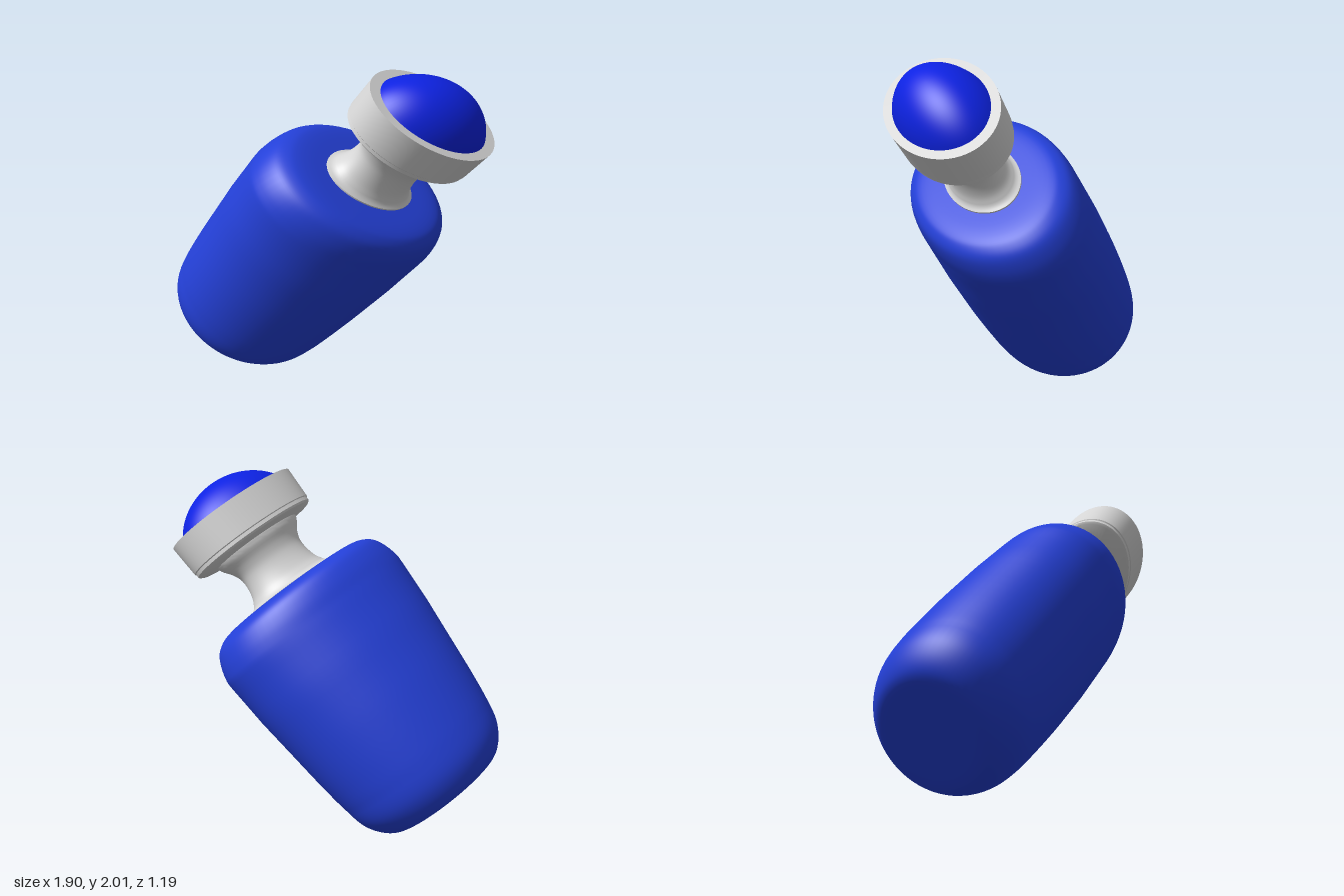
import * as THREE from 'three';
import { mergeVertices, toCreasedNormals } from 'three/addons/utils/BufferGeometryUtils.js';

// Revolve a profile of [radius, height], then shape it into an oval:
// section(height) gives [half width, half depth, x offset, z offset]
function ovalLathe(profile, section, crease) {
  const pts = profile.map(([r, y]) => new THREE.Vector2(r, y));
  let geo = new THREE.LatheGeometry(pts, 72);
  const p = geo.attributes.position;
  for (let i = 0; i < p.count; i++) {
    const [a, b, dx, dz] = section(p.getY(i));
    p.setX(i, p.getX(i) * a + dx);
    p.setZ(i, p.getZ(i) * b + dz);
  }
  geo.deleteAttribute('uv');
  geo.deleteAttribute('normal');
  geo = mergeVertices(geo, 1e-5);
  geo.computeVertexNormals();
  return crease ? toCreasedNormals(geo, crease) : geo;
}

// Smooth a short profile with a spline
function smooth(profile, n) {
  const curve = new THREE.CatmullRomCurve3(
    profile.map(([r, y]) => new THREE.Vector3(r, y, 0)), false, 'centripetal');
  return curve.getPoints(n).map(v => [Math.max(v.x, 0), v.y]);
}

// Body stations: height, half width, half depth, sideways drift
const STATIONS = [
  [-2.08, 0.535, 0.46, -0.035], [-1.8, 0.542, 0.462, -0.027], [-1.4, 0.592, 0.474, -0.02],
  [-1.1, 0.63, 0.472, -0.014], [-0.8, 0.655, 0.458, -0.008], [-0.57, 0.61, 0.458, -0.004],
];

const ROLL = THREE.MathUtils.degToRad(38.7);

function bodySection(y) {
  let i = 0;
  while (i < STATIONS.length - 2 && y > STATIONS[i + 1][0]) i++;
  const lo = STATIONS[i], hi = STATIONS[i + 1];
  const t = (y - lo[0]) / (hi[0] - lo[0]);
  const [a, b, d] = [1, 2, 3].map(k => THREE.MathUtils.lerp(lo[k], hi[k], t));
  return [a, b, d * Math.cos(ROLL), -d * Math.sin(ROLL)];
}

export function createModel() {
  const material = (name, color) => {
    const m = new THREE.MeshStandardMaterial({ color });
    m.name = name;
    return m;
  };
  const bodyBlue = material('bodyBlue', 0x2440d8);
  const domeBlue = material('domeBlue', 0x0d22e2);
  const silver = material('silver', 0xd6d6d6);

  const bottle = new THREE.Group();
  bottle.name = 'tiltedBottle';
  const add = (name, geo, mat) => {
    const mesh = new THREE.Mesh(geo, mat);
    mesh.name = name;
    bottle.add(mesh);
  };

  // Body: wide oval shoulder tapering to a nearly round base
  const bodyProfile = smooth([
    [0, -2.075], [0.35, -2.075], [0.65, -2.07], [0.76, -2.045], [0.87, -1.985],
    [0.945, -1.91], [0.985, -1.81], [1, -1.65], [1, -1.3], [1, -0.95], [1, -0.82],
    [0.99, -0.72], [0.95, -0.645], [0.87, -0.602], [0.76, -0.582], [0.4, -0.574], [0, -0.574],
  ], 90);
  add('body', ovalLathe(bodyProfile, bodySection), bodyBlue);

  // Neck, cap ring and dome share one oval proportion
  const capSection = () => [0.434, 0.293, 0, 0];
  const neckProfile = [
    [0.69, -0.585], [0.69, -0.566], [0.66, -0.56],
    ...smooth([[0.62, -0.55], [0.55, -0.5], [0.51, -0.43], [0.51, -0.375], [0.56, -0.32], [0.66, -0.26], [0.69, -0.22]], 24),
  ];
  add('neck', ovalLathe(neckProfile, capSection, 0.6), silver);

  // Cap ring with a small lip below and a flat rim on top
  const ringProfile = [
    [0, -0.24], [0.7, -0.24], [0.93, -0.225], [0.965, -0.215], [0.965, -0.195],
    [0.98, -0.19], [1, 0], [0.8, 0],
  ];
  add('capRing', ovalLathe(ringProfile, capSection, 0.5), silver);

  // Domed top: a tall cap cut from a larger ball
  const edge = 0.84, ball = 0.95, height = 0.187;
  const start = Math.asin(edge / ball);
  const domeProfile = [];
  for (let i = 0; i <= 24; i++) {
    const a = start * (1 - i / 24);
    const rise = (Math.cos(a) - Math.cos(start)) / (1 - Math.cos(start));
    domeProfile.push([ball * Math.sin(a), height * rise]);
  }
  add('dome', ovalLathe(domeProfile, capSection), domeBlue);

  // Lean the bottle and roll it about its own axis
  const axis = new THREE.Vector3(0.653, 0.753, 0.08).normalize();
  const u = new THREE.Vector3(0.755, -0.655, 0).normalize();
  const w = new THREE.Vector3().crossVectors(u, axis).normalize();
  const wide = w.clone().multiplyScalar(Math.cos(ROLL)).addScaledVector(u, -Math.sin(ROLL));
  const narrow = new THREE.Vector3().crossVectors(wide, axis);
  bottle.quaternion.setFromRotationMatrix(new THREE.Matrix4().makeBasis(wide, axis, narrow));
  bottle.position.set(0.67, 1.776, 0.083);

  const model = new THREE.Group();
  model.name = 'model';
  model.add(bottle);
  return model;
}
